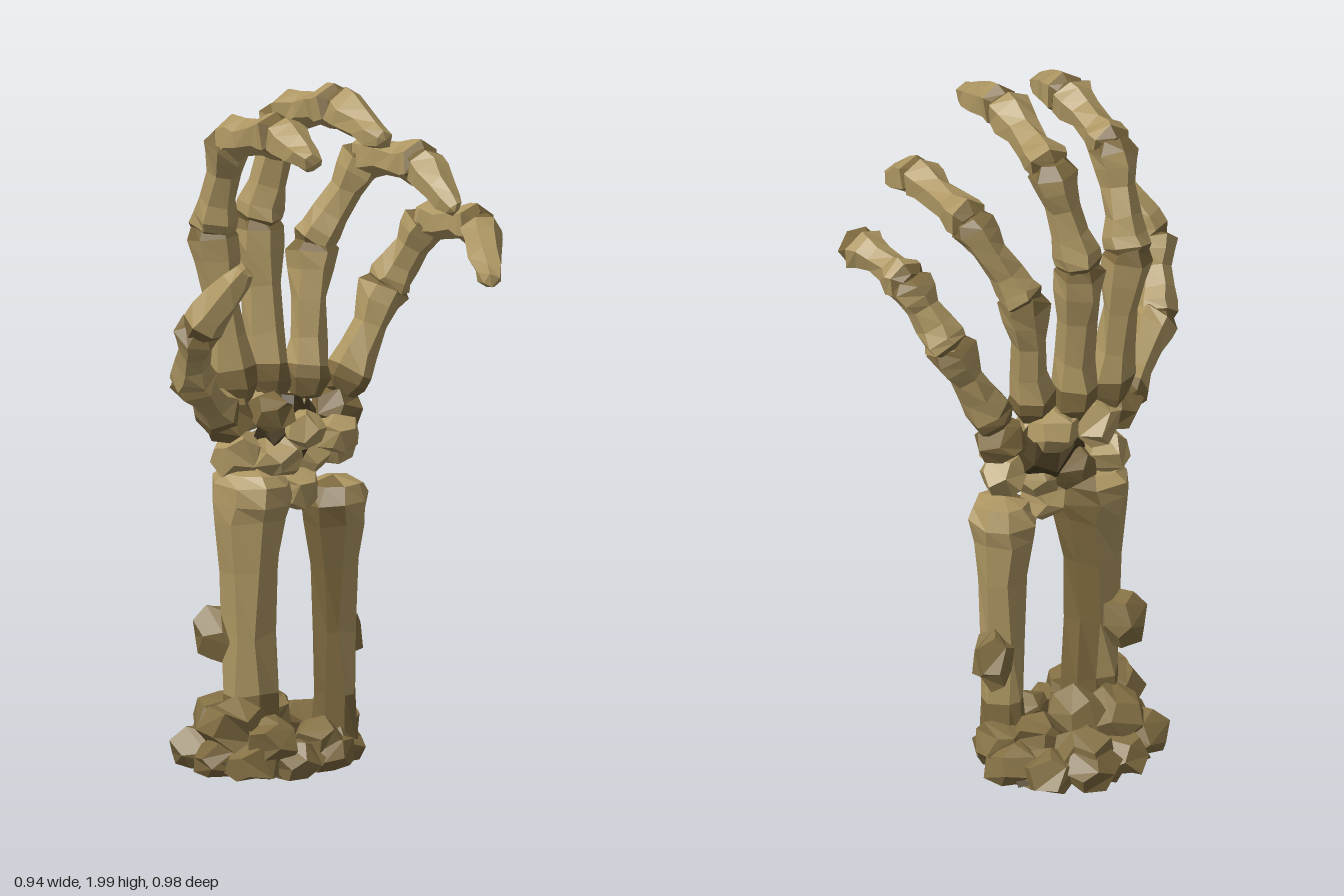
import * as THREE from 'three';

function makeMaterial(name, color) {
  const m = new THREE.MeshStandardMaterial({ color, flatShading: true });
  m.name = name;
  return m;
}
const bone = makeMaterial('pale bone', 0xad9662);
const stained = makeMaterial('stained bone', 0x7c683e);
const earth = makeMaterial('brown earth', 0x847044);
const dark = makeMaterial('dark earth', 0x4a3d23);

const V = (p) => new THREE.Vector3(...p);

// Repeatable noise in -1..1, the same for coincident corners
function noise(x, y, z, seed) {
  const q = (n) => Math.round(n * 1000);
  const s = Math.sin(q(x) * 1.271 + q(y) * 3.117 + q(z) * 2.693 + seed * 17.13) * 4375.85;
  return (s - Math.floor(s)) * 2 - 1;
}

// Roughens a geometry by shifting each corner a little
function roughen(geo, amount, seed) {
  const p = geo.attributes.position;
  for (let i = 0; i < p.count; i++) {
    const [x, y, z] = [p.getX(i), p.getY(i), p.getZ(i)];
    p.setXYZ(i, x + amount * noise(x, y, z, seed), y + amount * noise(x, y, z, seed + 1),
      z + amount * noise(x, y, z, seed + 2));
  }
  return geo;
}

// Bone profiles: [fraction of length, radius factor]
const LONG = [[-0.08, 0], [-0.06, 0.65], [0.05, 1], [0.16, 0.98], [0.34, 0.78], [0.62, 0.75], [0.82, 0.96], [0.96, 1.05], [1.06, 0.65], [1.08, 0]];
const TIP = [[-0.1, 0], [-0.08, 0.65], [0.08, 1], [0.25, 0.97], [0.55, 0.8], [0.8, 0.68], [0.97, 0.44], [1.02, 0]];
const RADIUS = [[0, 0], [0, 0.8], [0.24, 0.75], [0.45, 0.73], [0.68, 0.8], [0.85, 0.95], [0.92, 1.08], [0.98, 1.04], [1.01, 0.75], [1.03, 0]];
const ULNA = [[0, 0], [0, 0.72], [0.22, 0.68], [0.45, 0.68], [0.7, 0.78], [0.86, 0.94], [0.94, 1.08], [1, 0.8], [1.04, 0]];

// A faceted bone from a to b, stained at its covered ends and on faces turned towards `inner`
function makeBone(name, a, b, r, profile, seed, { sides = 6, lowBands = 2, inner = [0, 0, 0] } = {}) {
  const from = V(a), dir = V(b).sub(from), len = dir.length();
  const mesh = new THREE.Mesh(undefined, [bone, stained]);
  mesh.name = name;
  mesh.position.copy(from);
  mesh.quaternion.setFromUnitVectors(new THREE.Vector3(0, 1, 0), dir.normalize());
  const pts = profile.map(([t, f]) => new THREE.Vector2(r * f, t * len));
  const geo = roughen(new THREE.LatheGeometry(pts, sides), 0.1 * r, seed);
  const bands = profile.length - 1;
  const highBands = profile === LONG ? 2 : 0;
  for (let i = 0; i < sides; i++) {
    const phi = ((i + 0.5) / sides) * Math.PI * 2;
    const out = new THREE.Vector3(Math.sin(phi), 0, Math.cos(phi)).applyQuaternion(mesh.quaternion);
    const shaded = out.dot(V(inner)) > 0.8;
    for (let j = 0; j < bands; j++) {
      const covered = j < lowBands || j >= bands - highBands;
      geo.addGroup((i * bands + j) * 6, 6, covered || shaded ? 1 : 0);
    }
  }
  mesh.geometry = geo;
  return mesh;
}

// An angular lump, cut flat at the ground
function makeLump(name, [x, y, z], [sx, sy, sz], seed, material) {
  const geo = roughen(new THREE.DodecahedronGeometry(1, 0), 0.13, seed);
  geo.rotateY(seed * 1.3).rotateX(seed * 0.7).scale(sx, sy, sz).translate(x, y, z);
  const p = geo.attributes.position;
  for (let i = 0; i < p.count; i++) p.setY(i, Math.max(0.006, p.getY(i)));
  const mesh = new THREE.Mesh(geo, material);
  mesh.name = name;
  return mesh;
}

// Joints of each digit from wrist to tip
const DIGITS = {
  index: { joints: [[-0.25, 1.08, 0.01], [-0.315, 1.55, 0.02], [-0.23, 1.83, 0.08], [-0.02, 1.885, 0.18], [0.14, 1.84, 0.28]], r: 0.07 },
  middle: { joints: [[-0.2, 1.08, -0.09], [-0.25, 1.55, -0.13], [-0.18, 1.86, -0.17], [0.05, 1.93, -0.04], [0.25, 1.87, 0.07]], r: 0.07 },
  ring: { joints: [[-0.12, 1.08, -0.17], [-0.14, 1.47, -0.25], [-0.02, 1.72, -0.335], [0.22, 1.745, -0.22], [0.38, 1.65, -0.11]], r: 0.068 },
  little: { joints: [[-0.05, 1.07, -0.26], [0.02, 1.34, -0.39], [0.13, 1.53, -0.425], [0.33, 1.55, -0.35], [0.455, 1.43, -0.19]], r: 0.067 },
  thumb: { joints: [[-0.25, 1.04, 0.09], [-0.23, 1.19, 0.31], [-0.15, 1.36, 0.425], [-0.01, 1.55, 0.405]], r: 0.068 },
};

export function createModel() {
  const model = new THREE.Group();
  model.name = 'skeletonHand';

  // Digits
  let seed = 1;
  for (const [name, { joints, r }] of Object.entries(DIGITS)) {
    const digit = new THREE.Group();
    digit.name = name + 'Digit';
    const last = joints.length - 2;
    for (let i = 0; i <= last; i++) {
      digit.add(makeBone(name + 'Bone' + (i + 1), joints[i], joints[i + 1], r * (1 - 0.04 * i),
        i === last ? TIP : LONG, seed++, { lowBands: i === 0 ? 3 : 2 }));
    }
    model.add(digit);
  }

  // Wrist: shadowed core, then lower row, upper row and palm side
  const wrist = new THREE.Group();
  wrist.name = 'wrist';
  wrist.add(makeLump('wristCore', [-0.15, 0.96, -0.12], [0.08, 0.12, 0.14], 2, dark));
  [
    [-0.24, 0.91, 0.0, 0.08], [-0.2, 0.9, -0.1, 0.08], [-0.13, 0.89, -0.18, 0.08], [-0.08, 0.91, -0.26, 0.075],
    [-0.25, 1.02, 0.05, 0.08], [-0.24, 1.03, -0.05, 0.08], [-0.18, 1.03, -0.16, 0.08], [-0.07, 1.01, -0.26, 0.08],
    [-0.09, 0.98, -0.08, 0.07], [-0.04, 0.95, -0.2, 0.07], [-0.14, 1.04, 0.0, 0.07], [-0.13, 0.91, -0.03, 0.075],
  ].forEach(([x, y, z, r], i) =>
    wrist.add(makeLump('wristBone' + (i + 1), [x, y, z], [r, r * 0.9, r], i + 3, i % 3 === 1 ? stained : bone)));
  model.add(wrist);

  // Forearm, with a bridge where the two heads meet
  model.add(makeBone('radiusBone', [-0.22, 0.03, -0.025], [-0.21, 0.85, -0.015], 0.108, RADIUS, 31,
    { sides: 8, inner: [0, 0, -1] }));
  model.add(makeBone('ulnaBone', [-0.075, 0.03, -0.262], [-0.06, 0.8, -0.235], 0.095, ULNA, 37,
    { sides: 8, inner: [0, 0, 1] }));
  model.add(makeLump('forearmBridge', [-0.13, 0.8, -0.13], [0.07, 0.07, 0.07], 12, bone));

  // Clods stuck to the forearm
  model.add(makeLump('forearmClod', [-0.3, 0.39, 0.0], [0.075, 0.09, 0.075], 5, earth));
  model.add(makeLump('forearmClod', [-0.08, 0.35, -0.32], [0.06, 0.09, 0.06], 8, earth));

  // Mound of earth with a dark underside
  const mound = new THREE.Group();
  mound.name = 'earthMound';
  const disc = roughen(new THREE.CircleGeometry(1, 18).rotateX(Math.PI / 2), 0.06, 3);
  disc.scale(0.25, 0.03, 0.28).translate(-0.21, 0.002, -0.13);
  const underside = new THREE.Mesh(disc, dark);
  underside.name = 'moundUnderside';
  mound.add(underside);
  mound.add(makeLump('moundCore', [-0.21, 0.03, -0.13], [0.22, 0.1, 0.25], 6, dark));

  // Rocks around the rim
  for (let i = 0; i < 10; i++) {
    const a = (i / 10) * Math.PI * 2;
    const r = 0.09 + 0.012 * noise(i, 2, 5, 4);
    mound.add(makeLump('rimRock', [-0.21 + 0.18 * Math.cos(a), 0.045, -0.13 + 0.21 * Math.sin(a)],
      [r, r * 0.85, r], i + 1, i % 3 ? earth : stained));
  }
  // Rocks heaped on top
  [
    [-0.23, 0.15, 0.05, 0.1], [-0.32, 0.12, -0.07, 0.1], [-0.24, 0.14, -0.14, 0.095],
    [-0.12, 0.11, 0.05, 0.09], [-0.32, 0.09, -0.23, 0.09], [-0.1, 0.09, -0.31, 0.08],
    [-0.06, 0.08, -0.12, 0.08], [-0.18, 0.1, -0.25, 0.08],
  ].forEach(([x, y, z, r], i) =>
    mound.add(makeLump('topRock', [x, y, z], [r, r * 0.9, r], i + 21, earth)));
  model.add(mound);

  return model;
}
